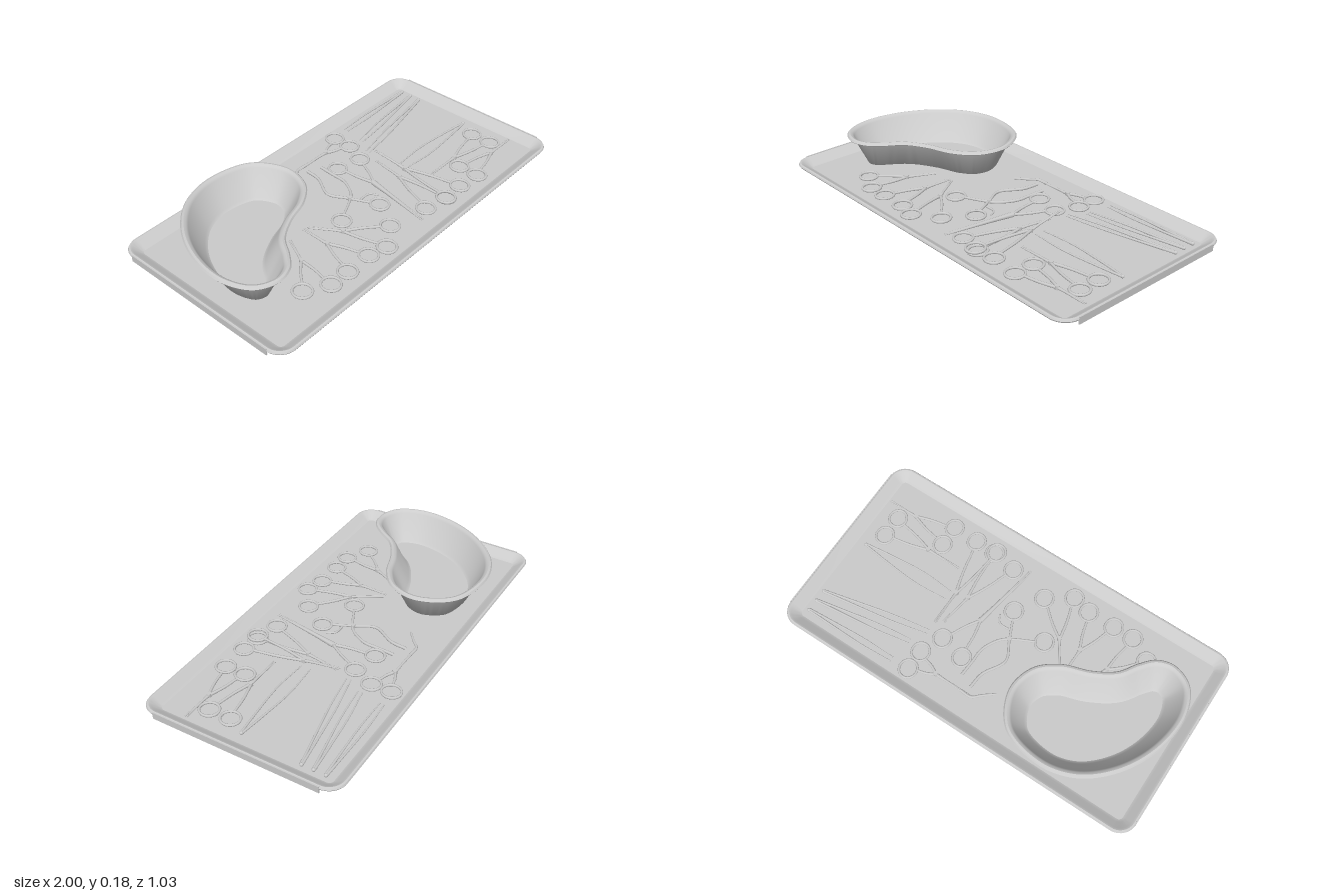
import * as THREE from 'three';
import { toCreasedNormals } from 'three/addons/utils/BufferGeometryUtils.js';

const mat = new THREE.MeshStandardMaterial({ color: 0xcccccc, side: THREE.DoubleSide });
const LIE = 0.021; // height at which instruments rest

function add(parent, name, geometry) {
  const mesh = new THREE.Mesh(geometry, mat);
  mesh.name = name;
  parent.add(mesh);
  return mesh;
}

// Outline points moved inward along their normals
function inset(outline, d) {
  const n = outline.length;
  return outline.map((p, i) => {
    const t = outline[(i + 1) % n].clone().sub(outline[(i + n - 1) % n]).normalize();
    return new THREE.Vector2(p.x - t.y * d, p.y + t.x * d);
  });
}

// Shell through inset copies of an outline; sections are [inset, height]
function loft(outline, sections) {
  const pos = [], index = [], n = outline.length;
  sections.forEach(([d, y], i) => {
    inset(outline, d).forEach((p, j) => {
      pos.push(p.x, y, p.y);
      if (i === sections.length - 1) return;
      const a = i * n + j, b = i * n + (j + 1) % n;
      index.push(a, a + n, b, b, a + n, b + n);
    });
  });
  const g = new THREE.BufferGeometry();
  g.setAttribute('position', new THREE.Float32BufferAttribute(pos, 3));
  g.setIndex(index);
  return toCreasedNormals(g, 0.6);
}

function sheet(outline, d, y) {
  const shape = new THREE.Shape(inset(outline, d).map(p => new THREE.Vector2(p.x, -p.y)));
  return new THREE.ShapeGeometry(shape).rotateX(-Math.PI / 2).translate(0, y, 0);
}

// Open vessel: lofted walls, underside and inner floor
function vessel(name, outline, sections) {
  const g = new THREE.Group();
  g.name = name;
  add(g, 'wallsAndRim', loft(outline, sections));
  add(g, 'underside', sheet(outline, ...sections[0]));
  add(g, 'floor', sheet(outline, ...sections[sections.length - 1]));
  return g;
}

function roundedRect(hx, hz, r) {
  const pts = [];
  [[1, -1], [1, 1], [-1, 1], [-1, -1]].forEach(([sx, sz], c) => {
    for (let k = 0; k <= 10; k++) {
      const a = (c - 1 + k / 10) * Math.PI / 2;
      pts.push(new THREE.Vector2(sx * (hx - r) + Math.cos(a) * r, sz * (hz - r) + Math.sin(a) * r));
    }
  });
  return pts;
}

// Rod along [x, z, y?] points, its radius running from r0 to r1
function rod(parent, name, pts, r0, r1 = r0) {
  const curve = new THREE.CatmullRomCurve3(pts.map(([x, z, y = LIE]) => new THREE.Vector3(x, y, z)), false, 'centripetal');
  const seg = 24, sides = 8;
  const g = new THREE.TubeGeometry(curve, seg, 1, sides);
  const p = g.attributes.position, v = new THREE.Vector3();
  for (let i = 0; i < p.count; i++) {
    const t = Math.floor(i / (sides + 1)) / seg, c = curve.getPointAt(t);
    v.fromBufferAttribute(p, i).sub(c).multiplyScalar(r0 + (r1 - r0) * t).add(c);
    p.setXYZ(i, v.x, v.y, v.z);
  }
  add(parent, name, g);
}

function fingerRing(parent, [x, z], y = LIE, r = 0.047) {
  const m = add(parent, 'fingerRing', new THREE.TorusGeometry(r, 0.0065, 8, 32).rotateX(Math.PI / 2));
  m.scale.x = 0.95;
  m.position.set(x, y, z);
}

function screw(parent, [x, z], y = LIE) {
  add(parent, 'pivotScrew', new THREE.CylinderGeometry(0.011, 0.011, 0.02, 16)).position.set(x, y, z);
}

// Two crossing arms, each with a finger ring
function scissors({ name, tip, rings, pivot = 0.45, blade = 0.007, y = LIE, tipY = y }) {
  const g = new THREE.Group();
  g.name = name;
  const V = a => new THREE.Vector2(...a);
  const T = V(tip), R = rings.map(V), mid = R[0].clone().add(R[1]).multiplyScalar(0.5);
  const P = T.clone().lerp(mid, pivot), across = R[1].clone().sub(R[0]).normalize();
  R.forEach((ring, i) => {
    const s = i ? 1 : -1;
    const start = T.clone().addScaledVector(across, -s * 0.005);
    const piv = P.clone().addScaledVector(across, s * 0.002);
    const end = ring.clone().add(P.clone().sub(ring).setLength(0.047));
    const h = P.clone().lerp(end, 0.5).addScaledVector(across, s * 0.006);
    rod(g, 'blade', [[start.x, start.y, tipY], [piv.x, piv.y, y]], 0.003, blade);
    rod(g, 'handle', [[piv.x, piv.y, y], [h.x, h.y, y], [end.x, end.y, y]], 0.0075, 0.006);
    fingerRing(g, rings[i], y);
  });
  screw(g, [P.x, P.y], y);
  return g;
}

// Two springy tines joined at one end
function tweezers(name, joint, tip, spread, r = 0.007) {
  const g = new THREE.Group();
  g.name = name;
  const dx = tip[0] - joint[0], dz = tip[1] - joint[1], l = Math.hypot(dx, dz);
  for (const s of [-1, 1]) {
    const at = (t, w) => [joint[0] + dx * t - dz / l * w * s, joint[1] + dz * t + dx / l * w * s];
    rod(g, 'tine', [at(0, 0.003), at(0.3, spread * 0.6), at(0.65, spread), at(1, spread * 0.7)], r, 0.003);
  }
  add(g, 'joinedEnd', new THREE.SphereGeometry(0.009, 12, 8)).position.set(joint[0], LIE, joint[1]);
  return g;
}

export function createModel() {
  const model = new THREE.Group();
  model.name = 'instrumentTray';

  // Shallow tray with sloping walls and a rolled rim
  const tray = vessel('tray', roundedRect(1, 0.515, 0.09), [
    [0.065, 0], [0.055, 0.004], [0.02, 0.034], [0.003, 0.034], [0, 0.04],
    [0.004, 0.047], [0.012, 0.049], [0.022, 0.045], [0.055, 0.018], [0.068, 0.013],
  ]);
  for (const s of [-1, 1]) {
    add(tray, 'endLip', new THREE.BoxGeometry(0.006, 0.035, 0.86)).position.set(s * 0.997, 0.032, 0);
  }
  model.add(tray);

  // Kidney dish
  const kidney = new THREE.CatmullRomCurve3([
    [-0.49, -0.468], [-0.27, -0.41], [-0.175, -0.24], [-0.21, -0.09], [-0.315, 0.0],
    [-0.45, 0.05], [-0.555, 0.115], [-0.615, 0.2], [-0.68, 0.267], [-0.77, 0.29],
    [-0.877, 0.24], [-0.936, 0.1], [-0.914, -0.1], [-0.82, -0.285], [-0.67, -0.42],
  ].map(([x, z]) => new THREE.Vector3(x, 0, z)), true).getSpacedPoints(120).slice(0, -1)
    .map(p => new THREE.Vector2(p.x, p.z));
  model.add(vessel('kidneyDish', kidney, [
    [0.105, 0.014], [0.1, 0.018], [0.028, 0.168], [0.002, 0.168], [0, 0.171],
    [0.006, 0.179], [0.016, 0.182], [0.027, 0.178], [0.036, 0.168], [0.098, 0.036], [0.112, 0.026],
  ]));

  // Scissors and clamps
  [
    { name: 'clampLeft', tip: [-0.43, 0.01], rings: [[-0.635, 0.285], [-0.52, 0.35]] },
    { name: 'clampMiddle', tip: [-0.33, 0.0], rings: [[-0.41, 0.35], [-0.265, 0.35]] },
    { name: 'clampRight', tip: [-0.31, 0.005], rings: [[-0.165, 0.375], [-0.04, 0.29]] },
    { name: 'longScissors', tip: [0.095, 0.38], rings: [[0.13, -0.195], [0.265, -0.165]], pivot: 0.65, blade: 0.013 },
    { name: 'needleHolder', tip: [0.31, -0.09], rings: [[0.175, 0.335], [0.305, 0.36]], pivot: 0.4 },
    { name: 'raisedClamp', tip: [0.335, -0.125], rings: [[0.295, 0.365], [0.415, 0.36]], pivot: 0.4, y: 0.032, tipY: 0.06 },
    { name: 'smallScissorsBack', tip: [0.41, 0.19], rings: [[0.83, 0.135], [0.83, 0.25]] },
    { name: 'smallScissorsFront', tip: [0.92, 0.31], rings: [[0.555, 0.255], [0.555, 0.365]] },
  ].forEach(o => model.add(scissors(o)));

  // Bent scissors with an angled nose
  const bent = scissors({ name: 'bentScissors', tip: [-0.02, -0.335], rings: [[0.315, -0.385], [0.315, -0.28]], pivot: 0.62 });
  rod(bent, 'angledNose', [[-0.115, -0.255], [-0.06, -0.3], [-0.02, -0.335], [0.04, -0.335]], 0.005, 0.008);
  model.add(bent);

  // Bow-jawed clamp with a curved ratchet
  const bow = new THREE.Group();
  bow.name = 'bowClamp';
  rod(bow, 'jawArm', [[0.01, -0.295], [0, -0.21], [-0.06, -0.09], [-0.02, 0], [0.03, 0.108]], 0.008, 0.006);
  rod(bow, 'jawArm', [[0.08, -0.265], [0.075, -0.18], [0.07, -0.1], [0.02, -0.01], [-0.03, 0.025], [-0.125, 0.073]], 0.008, 0.006);
  rod(bow, 'ratchet', [[0.02, 0.055], [0.075, 0.06], [0.1, 0.1]], 0.006, 0.004);
  fingerRing(bow, [-0.165, 0.095]);
  fingerRing(bow, [0.05, 0.15]);
  screw(bow, [-0.012, 0.012]);
  model.add(bow);

  // Tweezers
  model.add(
    tweezers('tweezersBack', [0.905, -0.405], [0.41, -0.39], 0.016),
    tweezers('tweezersMiddle', [0.905, -0.345], [0.39, -0.265], 0.016),
    tweezers('tweezersFront', [0.905, -0.285], [0.34, -0.175], 0.016),
    tweezers('wideTweezers', [0.88, 0.04], [0.37, 0.04], 0.035, 0.006),
  );
  return model;
}
